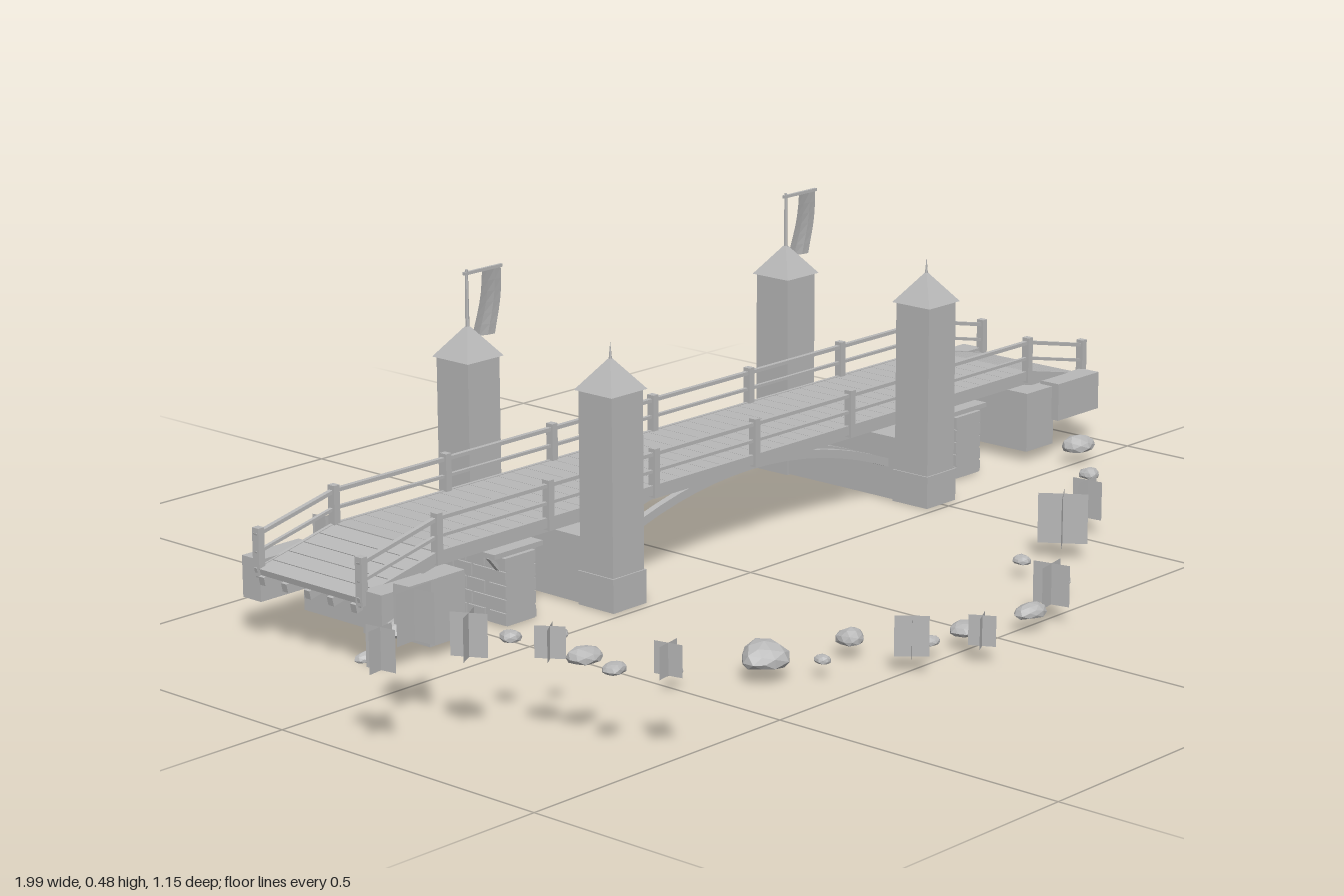
import * as THREE from 'three';

const stone = new THREE.MeshStandardMaterial({ color: 0xb8b8b8, flatShading: true, side: THREE.DoubleSide });
stone.name = 'plain grey';

const CX = 0.118, CZ = -0.208; // bridge centre
const HALF = 0.714, END = 0.875; // half length of the flat deck and of the whole deck
const DROP = 0.035; // fall of each ramp
const RAIL_Z = 0.112; // railing offset from the centreline

function add(parent, name, geometry, x = 0, y = 0, z = 0) {
  const mesh = new THREE.Mesh(geometry, stone);
  mesh.name = name;
  mesh.position.set(x, y, z);
  parent.add(mesh);
  return mesh;
}

function box(parent, name, w, y0, y1, d, x, z) {
  return add(parent, name, new THREE.BoxGeometry(w, y1 - y0, d), x, (y0 + y1) / 2, z);
}

// Straight beam in the x-y plane
function beam(parent, name, x0, y0, x1, y1, z, h, d) {
  const mesh = add(parent, name, new THREE.BoxGeometry(Math.hypot(x1 - x0, y1 - y0), h, d),
    (x0 + x1) / 2, (y0 + y1) / 2, z);
  mesh.rotation.z = Math.atan2(y1 - y0, x1 - x0);
  return mesh;
}

// Flat middle run plus two falling ramps
function run(parent, name, y, z, h, d) {
  beam(parent, name, -HALF, y, HALF, y, z, h, d);
  for (const s of [-1, 1]) beam(parent, name, s * HALF, y, s * END, y - DROP, z, h, d);
}

function buildDeck(bridge) {
  const deck = new THREE.Group();
  deck.name = 'deck';
  bridge.add(deck);
  const pitch = 0.0318;
  for (let i = -27; i <= 27; i++) {
    const x = i * pitch;
    const over = Math.max(0, Math.abs(x) - HALF) / (END - HALF);
    const plank = add(deck, 'plank', new THREE.BoxGeometry(pitch - 0.001, 0.01, 0.222), x, 0.147 - over * DROP, 0);
    if (over > 0) plank.rotation.z = -Math.sign(x) * Math.atan2(DROP, END - HALF);
  }
  for (let i = -2; i <= 2; i++) run(deck, 'stringer', 0.134, i * 0.05, 0.014, 0.012);
}

function buildRailing(bridge, side) {
  const rail = new THREE.Group();
  rail.name = side > 0 ? 'frontRailing' : 'backRailing';
  bridge.add(rail);
  const z = side * RAIL_Z;
  run(rail, 'topRail', 0.204, z, 0.006, 0.008);
  run(rail, 'middleRail', 0.176, z, 0.005, 0.006);
  run(rail, 'edgeBeam', 0.145, z, 0.016, 0.006);
  for (let i = -3; i <= 3; i++) box(rail, 'post', 0.012, 0.133, 0.213, 0.014, i * 0.238, z);
  for (const s of [-1, 1]) box(rail, 'endPost', 0.012, 0.105, 0.18, 0.014, s * (END - 0.006), z);
}

// Curved ribs under the middle span
function buildArch(bridge) {
  const s = new THREE.Shape();
  s.moveTo(-0.35, 0.055);
  s.quadraticCurveTo(0, 0.197, 0.35, 0.055);
  s.lineTo(0.35, 0.07);
  s.quadraticCurveTo(0, 0.21, -0.35, 0.07);
  const g = new THREE.ExtrudeGeometry(s, { depth: 0.012, bevelEnabled: false, curveSegments: 16 });
  for (let i = -2; i <= 2; i++) add(bridge, 'archRib', g, 0, 0, i * 0.05 - 0.006);
}

// Supports mirrored to each end
function buildSupports(bridge, s) {
  box(bridge, 'towerPier', 0.07, 0.002, 0.11, 0.26, s * 0.381, 0);
  // Coursed pier: solid core with raised blocks
  const x = s * 0.545;
  box(bridge, 'pierCore', 0.06, 0.002, 0.11, 0.236, x, 0);
  for (let row = 0; row < 5; row++) {
    for (let i = 0; i < 6; i++) {
      const z = (i - 2.5) * 0.04 + (row % 2 ? 0.006 : -0.006) * (i % 5 ? 1 : 0);
      box(bridge, 'pierBlock', 0.066, 0.003 + row * 0.022, 0.022 + row * 0.022, 0.036, x, z);
    }
  }
  box(bridge, 'pierCap', 0.105, 0.112, 0.12, 0.23, x, 0);
  for (const t of [-1, 1]) for (const z of [-0.1, 0.1])
    beam(bridge, 'bracket', x + t * 0.03, 0.09, x + t * 0.05, 0.113, z, 0.006, 0.008);
  // Abutment with wing walls
  box(bridge, 'abutment', 0.075, 0.018, 0.122, 0.275, s * 0.72, 0);
  for (const t of [-1, 1]) box(bridge, 'wingWall', 0.115, 0.062, 0.128, 0.04, s * 0.81, t * 0.132);
}

function buildTower(bridge, x, side) {
  const tower = new THREE.Group();
  tower.name = side > 0 ? 'frontTower' : 'backTower';
  tower.position.set(x, 0, side * 0.155);
  bridge.add(tower);
  box(tower, 'towerShaft', 0.07, 0, 0.347, 0.07, 0, 0);
  box(tower, 'towerPlinth', 0.075, 0, 0.055, 0.075, 0, 0);
  const roof = new THREE.ConeGeometry(0.04 * Math.SQRT2, 0.052, 4);
  roof.rotateY(Math.PI / 4);
  add(tower, 'towerRoof', roof, 0, 0.37, 0);
  if (side > 0) {
    add(tower, 'finial', new THREE.ConeGeometry(0.004, 0.04, 6), 0, 0.4, 0);
    return;
  }
  // Pole, crossbar and hanging banner
  add(tower, 'flagPole', new THREE.CylinderGeometry(0.0025, 0.0035, 0.1, 6), 0, 0.434, 0);
  beam(tower, 'crossbar', -0.006, 0.478, 0.078, 0.478, 0, 0.005, 0.005);
  const cloth = new THREE.PlaneGeometry(0.042, 0.11, 3, 6);
  const p = cloth.attributes.position;
  for (let i = 0; i < p.count; i++) {
    const down = (0.055 - p.getY(i)) / 0.11;
    p.setZ(i, -0.017 * down + 0.005 * Math.sin(p.getX(i) * 90) * down);
    p.setX(i, p.getX(i) + 0.004 * Math.sin(down * 4));
  }
  cloth.computeVertexNormals();
  add(tower, 'banner', cloth, 0.055, 0.42, 0);
}

// Squashed, uneven boulder
function buildRock(parent, x, z, r, i) {
  const g = new THREE.IcosahedronGeometry(1, 1);
  const p = g.attributes.position;
  for (let k = 0; k < p.count; k++) {
    const a = p.getX(k), b = p.getY(k), c = p.getZ(k);
    const f = 1 + 0.1 * Math.sin(a * 3 + i) + 0.08 * Math.cos(c * 4 + i * 2);
    p.setXYZ(k, a * f, Math.max(b, -0.35) * f, c * f * 0.85);
  }
  g.computeVertexNormals();
  const base = x < -0.65 ? 0.121 : 0.024;
  const rock = add(parent, 'rock', g, x, base + r * 0.2, z);
  rock.scale.set(r, r * 0.6, r);
  rock.rotation.y = i % 2 ? 0.3 : -0.2;
}

// Plant made of two crossed upright sheets
function buildPlant(parent, x, z, y, w, h, yaw) {
  const plant = new THREE.Group();
  plant.name = 'plant';
  plant.position.set(x, y + h / 2, z);
  plant.rotation.y = yaw;
  parent.add(plant);
  for (const a of [0, Math.PI / 2])
    add(plant, 'leafSheet', new THREE.PlaneGeometry(w, h)).rotation.y = a;
}

export function createModel() {
  const model = new THREE.Group();
  model.name = 'bridgeScene';
  const bridge = new THREE.Group();
  bridge.name = 'bridge';
  bridge.position.set(CX, 0, CZ);
  model.add(bridge);

  buildDeck(bridge);
  buildArch(bridge);
  for (const s of [-1, 1]) {
    buildRailing(bridge, s);
    buildSupports(bridge, s);
    for (const side of [-1, 1]) buildTower(bridge, s * 0.381, side);
  }

  // Shoreline rocks: x, z, radius
  [[-0.957, 0.13, 0.017], [-0.845, 0.08, 0.026], [-0.754, 0.214, 0.018], [-0.695, 0.257, 0.014],
    [-0.749, 0.358, 0.026], [-0.76, 0.422, 0.019], [-0.503, 0.294, 0.016], [-0.38, 0.364, 0.042],
    [-0.316, 0.422, 0.014], [-0.214, 0.39, 0.026], [-0.144, 0.487, 0.016], [-0.07, 0.492, 0.025],
    [0.059, 0.513, 0.026], [0.219, 0.449, 0.02], [0.267, 0.337, 0.016], [0.733, 0.118, 0.02],
    [0.861, 0, 0.031]].forEach(([x, z, r], i) => buildRock(model, x, z, r, i));

  // Shoreline plants: x, z, base, width, height, yaw
  [[-0.972, 0.178, 0.122, 0.052, 0.063, 0.15], [-0.85, 0.228, 0.122, 0.055, 0.065, 0.5],
    [-0.85, 0.118, 0.122, 0.076, 0.078, 0.1], [-0.725, 0.492, 0.122, 0.046, 0.048, 0.2],
    [-0.78, 0.318, 0.122, 0.045, 0.048, 0.6], [-0.217, 0.51, 0.027, 0.052, 0.063, 0.7],
    [-0.11, 0.557, 0.027, 0.042, 0.048, 0.5], [0.118, 0.51, 0.027, 0.062, 0.066, 0.2],
    [0.385, 0.327, 0.027, 0.08, 0.083, 0.6], [0.525, 0.27, 0.027, 0.055, 0.065, 0.1],
    [-0.41, -0.545, 0.027, 0.052, 0.05, 0.15]].forEach((a) => buildPlant(model, ...a));
  return model;
}
